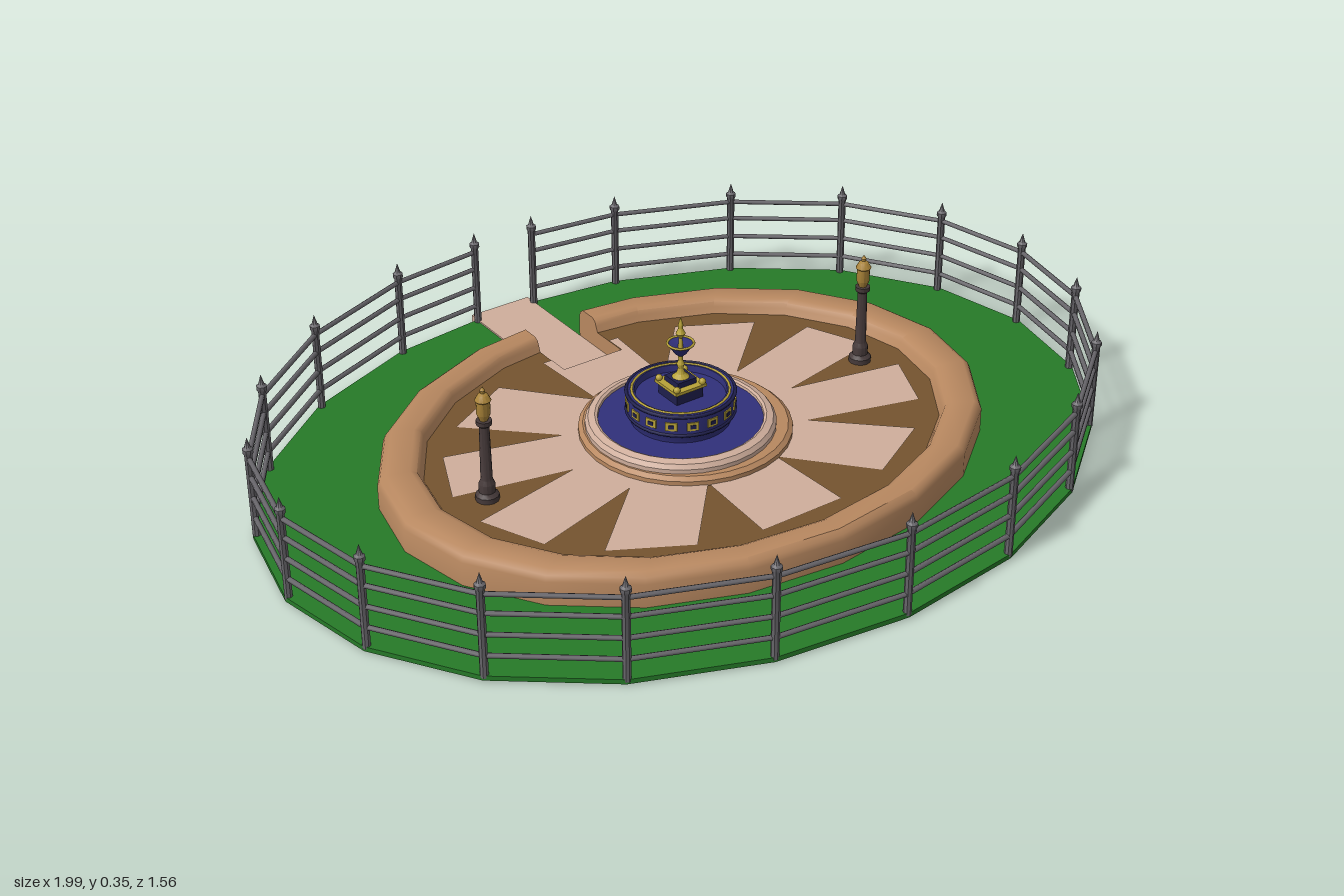
import * as THREE from 'three';
import { toCreasedNormals } from 'three/addons/utils/BufferGeometryUtils.js';

const SIDES = 20, STEP = (Math.PI * 2) / SIDES, GAP = 0.08, FLOOR = 0.06, NOTCH_Z = -0.37;
const mat = (color) => new THREE.MeshStandardMaterial({ color, side: THREE.DoubleSide });
const M = {
  grass: mat(0x267a28), clay: mat(0xb88860), earth: mat(0x75542f), paving: mat(0xcfae9c),
  iron: mat(0x69676c), blue: mat(0x30307a), navy: mat(0x1f1f4c), gold: mat(0xb8a238),
  bronze: mat(0x463a3a), lantern: mat(0xa88238),
};

function add(parent, name, geo, material, x = 0, y = 0, z = 0) {
  const mesh = new THREE.Mesh(geo, material);
  mesh.name = name;
  mesh.position.set(x, y, z);
  parent.add(mesh);
  return mesh;
}

const lathe = (pts, n = 24) =>
  toCreasedNormals(new THREE.LatheGeometry(pts.map(([r, y]) => new THREE.Vector2(r, y)), n), 0.6);

// Oval corner, counted round from the middle of the back
const corner = (rx, rz, i) => new THREE.Vector2(rx * Math.sin(i * STEP), -rz * Math.cos(i * STEP));

// Oval broken at the entrance: starts and ends at x = +GAP and x = -GAP
function openOval(rx, rz) {
  const a = corner(rx, rz, 0).lerp(corner(rx, rz, 1), GAP / (rx * Math.sin(STEP)));
  const pts = [a];
  for (let i = 1; i < SIDES; i++) pts.push(corner(rx, rz, i));
  pts.push(new THREE.Vector2(-a.x, a.y));
  return pts;
}

// Flat ground-plane shape from (x, z) points
const planShape = (pts) => new THREE.Shape(pts.map((p) => new THREE.Vector2(p.x, -p.y)));
const planGeo = (pts) => new THREE.ShapeGeometry(planShape(pts)).rotateX(-Math.PI / 2);

function lawn(g) {
  const ring = (rx, rz) => Array.from({ length: SIDES }, (_, i) => corner(rx, rz, i));
  const shape = planShape(ring(0.993, 0.773));
  shape.holes.push(planShape(ring(0.71, 0.556)));
  const geo = new THREE.ExtrudeGeometry(shape, { depth: 0.011, bevelEnabled: false });
  add(g, 'lawn', geo.rotateX(-Math.PI / 2), M.grass, 0, 0.003, 0);
  add(g, 'entrancePath', new THREE.BoxGeometry(GAP * 2, 0.018, 0.415), M.paving, 0, 0.009, -0.5775);
}

function terrace(g) {
  // Rounded kerb swept round the oval: inset from the outer edge, height
  const profile = [[0, 0.005], [0, 0.07], [0.006, 0.083], [0.02, 0.092], [0.075, 0.092],
    [0.09, 0.086], [0.096, 0.075], [0.104, FLOOR]];
  const rings = profile.map(([d]) => openOval(0.715 - d, 0.56 - d * 0.75));
  const pos = [], idx = [], n = rings[0].length;
  rings.forEach((ring, j) => ring.forEach((p, i) => {
    pos.push(p.x, profile[j][1], p.y);
    if (j && i) {
      const a = (j - 1) * n + i - 1, b = j * n + i - 1;
      idx.push(a, b, a + 1, b, b + 1, a + 1);
    }
  }));
  const geo = new THREE.BufferGeometry();
  geo.setAttribute('position', new THREE.Float32BufferAttribute(pos, 3));
  geo.setIndex(idx);
  add(g, 'kerb', toCreasedNormals(geo, 0.7), M.clay);

  // Walls of the sunken entrance, closing the kerb ends
  const side = rings.map((r, j) => new THREE.Vector2(r[0].y, profile[j][1]));
  side.push(new THREE.Vector2(NOTCH_Z, FLOOR), new THREE.Vector2(NOTCH_Z, 0.005));
  for (const s of [1, -1]) {
    const wall = new THREE.ShapeGeometry(new THREE.Shape(side)).rotateY(-Math.PI / 2);
    add(g, 'entranceSideWall', wall, M.clay, s * GAP, 0, 0);
  }
  add(g, 'entranceEndWall', new THREE.PlaneGeometry(GAP * 2, FLOOR), M.clay, 0, FLOOR / 2, NOTCH_Z);

  // Earth floor with a notch for the entrance
  const notch = [new THREE.Vector2(-GAP, NOTCH_Z), new THREE.Vector2(GAP, NOTCH_Z)];
  add(g, 'floor', planGeo([...rings.at(-1), ...notch]), M.earth, 0, FLOOR, 0);

  // Ten paved rays joined at the centre, the rear one cut by the notch
  const star = [], at = (r, deg) => {
    const t = THREE.MathUtils.degToRad(deg);
    return new THREE.Vector2(0.57 * r * Math.sin(t), -0.43 * r * Math.cos(t));
  };
  for (let k = 0; k < 10; k++) {
    star.push(at(1, k * 36 - 10.5));
    if (k === 0) star.push(new THREE.Vector2(-GAP, -0.423), ...notch, new THREE.Vector2(GAP, -0.423));
    star.push(at(1, k * 36 + 10.5), at(0.52, k * 36 + 18));
  }
  for (const dy of [0.002, -0.002]) add(g, 'pavedRays', planGeo(star), M.paving, 0, FLOOR + dy, 0);
}

function fence(g) {
  const group = new THREE.Group();
  group.name = 'fence';
  g.add(group);
  const pts = openOval(0.985, 0.766);
  const post = lathe([[0, 0], [0.009, 0], [0.009, 0.205], [0.012, 0.21], [0.012, 0.218], [0.007, 0.222], [0, 0.245]], 8);
  pts.forEach((p, i) => {
    add(group, 'fencePost', post, M.iron, p.x, 0.008, p.y);
    if (!i) return;
    const q = pts[i - 1], len = p.distanceTo(q);
    for (const y of [0.058, 0.108, 0.158, 0.203]) {
      const rail = add(group, 'fenceRail', new THREE.CylinderGeometry(0.006, 0.006, len, 6).rotateX(Math.PI / 2),
        M.iron, (p.x + q.x) / 2, y, (p.y + q.y) / 2);
      rail.lookAt(p.x, y, p.y);
    }
  });
}

function lamp(g, x) {
  const group = new THREE.Group();
  group.name = 'lamp';
  group.position.set(x, FLOOR, -0.012);
  g.add(group);
  add(group, 'lampPost', lathe([[0, 0], [0.026, 0], [0.026, 0.012], [0.018, 0.02], [0.018, 0.04], [0.013, 0.05],
    [0.011, 0.18], [0.017, 0.185], [0.017, 0.195], [0, 0.195]], 12), M.bronze);
  add(group, 'lantern', lathe([[0.009, 0.195], [0.015, 0.21], [0.015, 0.24], [0.018, 0.243], [0.011, 0.256],
    [0.005, 0.26], [0.006, 0.266], [0, 0.275]], 12), M.lantern);
}

function fountain(g) {
  add(g, 'fountainStep', lathe([[0.238, FLOOR], [0.238, 0.072], [0.228, 0.08], [0.19, 0.08]], 32), M.clay);
  const f = new THREE.Group();
  f.name = 'fountain';
  f.position.x = -0.013;
  g.add(f);
  const hoop = (name, r, y, t, m) => add(f, name, new THREE.TorusGeometry(r, t, 6, 32).rotateX(Math.PI / 2), m, 0, y, 0);

  // Outer pool
  add(f, 'poolRim', lathe([[0.212, 0.07], [0.212, 0.09], [0.205, 0.1], [0.19, 0.105], [0.184, 0.102], [0.182, 0.09]], 32), M.paving);
  add(f, 'poolWater', new THREE.CircleGeometry(0.184, 32).rotateX(-Math.PI / 2), M.blue, 0, 0.096, 0);

  // Raised basin with gold hoops and tiles
  add(f, 'basin', lathe([[0.112, 0.095], [0.116, 0.115], [0.12, 0.12], [0.12, 0.163], [0.116, 0.168], [0.102, 0.168],
    [0.1, 0.15]], 32), M.blue);
  add(f, 'basinWater', new THREE.CircleGeometry(0.102, 32).rotateX(-Math.PI / 2), M.blue, 0, 0.152, 0);
  hoop('basinLowerHoop', 0.12, 0.119, 0.004, M.navy);
  hoop('basinUpperHoop', 0.12, 0.165, 0.004, M.navy);
  hoop('basinGoldHoop', 0.108, 0.168, 0.003, M.gold);
  for (let i = 0; i < 16; i++) {
    const a = (i / 16) * Math.PI * 2;
    const tile = add(f, 'basinTile', new THREE.BoxGeometry(0.026, 0.02, 0.006), M.gold, Math.sin(a) * 0.119, 0.141, Math.cos(a) * 0.119);
    tile.rotation.y = a;
    const inset = add(f, 'tileInset', new THREE.BoxGeometry(0.013, 0.009, 0.006), M.navy, Math.sin(a) * 0.1205, 0.141, Math.cos(a) * 0.1205);
    inset.rotation.y = a;
  }

  // Square pedestal, stem and top bowl
  add(f, 'pedestal', new THREE.BoxGeometry(0.07, 0.03, 0.07), M.navy, 0, 0.165, 0);
  add(f, 'pedestalCap', new THREE.BoxGeometry(0.082, 0.007, 0.082), M.gold, 0, 0.182, 0);
  add(f, 'pedestalBlock', new THREE.BoxGeometry(0.05, 0.015, 0.05), M.navy, 0, 0.191, 0);
  for (const x of [-1, 1]) for (const z of [-1, 1])
    add(f, 'pedestalBall', new THREE.SphereGeometry(0.008, 10, 8), M.gold, x * 0.034, 0.19, z * 0.034);
  add(f, 'stem', lathe([[0.02, 0.198], [0.01, 0.207], [0.006, 0.22], [0.009, 0.23], [0.005, 0.24], [0.006, 0.255]], 12), M.gold);
  add(f, 'topBowl', lathe([[0.005, 0.25], [0.014, 0.258], [0.03, 0.282], [0.027, 0.282], [0, 0.268]], 16), M.blue);
  hoop('topBowlRim', 0.029, 0.282, 0.003, M.gold);
  add(f, 'finial', lathe([[0.006, 0.268], [0.004, 0.295], [0.011, 0.306], [0.005, 0.318], [0.006, 0.326], [0, 0.347]], 12), M.gold);
}

export function createModel() {
  const g = new THREE.Group();
  g.name = 'fountainGarden';
  lawn(g);
  terrace(g);
  fence(g);
  for (const x of [-0.505, 0.505]) lamp(g, x);
  fountain(g);
  return g;
}
